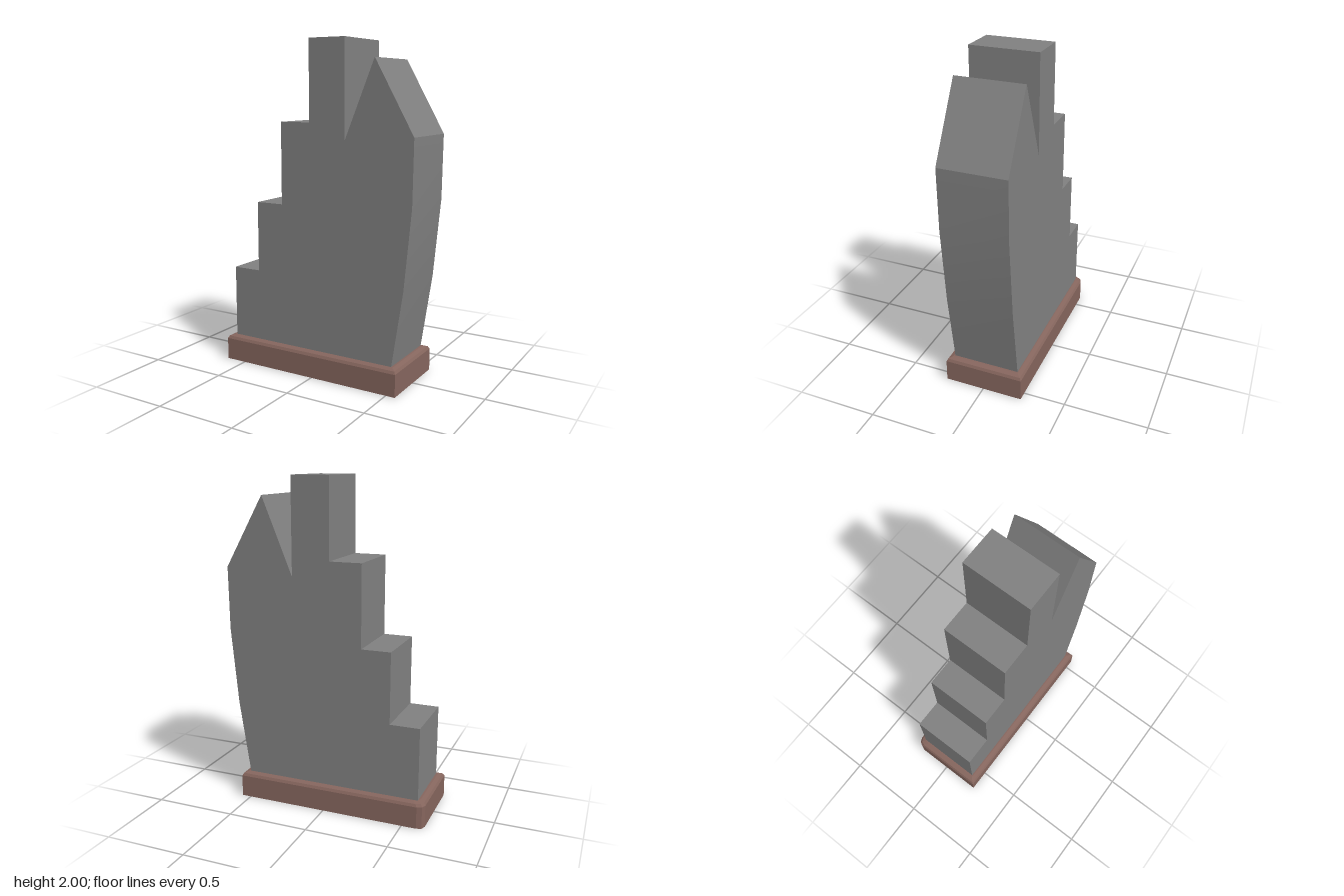
import * as THREE from 'three';
import { toCreasedNormals } from 'three/addons/utils/BufferGeometryUtils.js';

const stone = new THREE.MeshStandardMaterial({ name: 'grey stone', color: 0x808080 });
const plinthBrown = new THREE.MeshStandardMaterial({ name: 'reddish brown', color: 0x85655d });

// Plinth: an outline stacked in loops, drawn in towards the top for the rounded rim
function plinthGeometry() {
  const outline = [
    [-0.632, -0.205], [-0.62, -0.233], [-0.59, -0.245], // rounded back corner
    [0.557, -0.245], [0.557, 0.243], [-0.632, 0.243],
  ];
  const profile = [[0, 0], [0, 0.135], [0.009, 0.151], [0.033, 0.16]]; // inset, height
  const cx = -0.0375, hx = 0.5945, hz = 0.245, n = outline.length;
  const loops = profile.map(([inset, y]) => outline.map(([x, z]) =>
    [cx + (x - cx) * (1 - inset / hx), y, z * (1 - inset / hz)]));
  const pos = [];
  const tri = (a, b, c) => pos.push(...a, ...b, ...c);

  for (let k = 0; k < loops.length - 1; k++) {
    const low = loops[k], high = loops[k + 1];
    for (let i = 0; i < n; i++) {
      const j = (i + 1) % n;
      tri(low[i], high[i], high[j]);
      tri(low[i], high[j], low[j]);
    }
  }
  // Bottom and top caps
  const bottom = loops[0], top = loops[loops.length - 1];
  for (let i = 1; i < n - 1; i++) {
    tri(bottom[0], bottom[i], bottom[i + 1]);
    tri(top[0], top[i + 1], top[i]);
  }
  const geometry = new THREE.BufferGeometry();
  geometry.setAttribute('position', new THREE.Float32BufferAttribute(pos, 3));
  geometry.computeVertexNormals();
  return geometry;
}

// Slab: stepped left edge, notch, pointed peak and bowed right edge
function slabGeometry() {
  const shape = new THREE.Shape([
    [-0.587, 0.16], [0.513, 0.16], [0.581, 0.61], [0.625, 1.08], [0.63, 1.46],
    [0.39, 1.885], [0.203, 1.425], [0.203, 2], [-0.031, 2],
    [-0.031, 1.525], [-0.227, 1.525], [-0.227, 1.033],
    [-0.406, 1.033], [-0.406, 0.603], [-0.587, 0.603],
  ].map(([x, y]) => new THREE.Vector2(x, y)));
  const geometry = new THREE.ExtrudeGeometry(shape, { depth: 0.41, bevelEnabled: false });
  geometry.translate(0, 0, -0.207);
  return toCreasedNormals(geometry, Math.PI / 9);
}

export function createModel() {
  const group = new THREE.Group();
  group.name = 'steppedMonument';
  const add = (name, geometry, material) => {
    const mesh = new THREE.Mesh(geometry, material);
    mesh.name = name;
    group.add(mesh);
  };
  add('plinth', plinthGeometry(), plinthBrown);
  add('steppedSlab', slabGeometry(), stone);
  return group;
}
